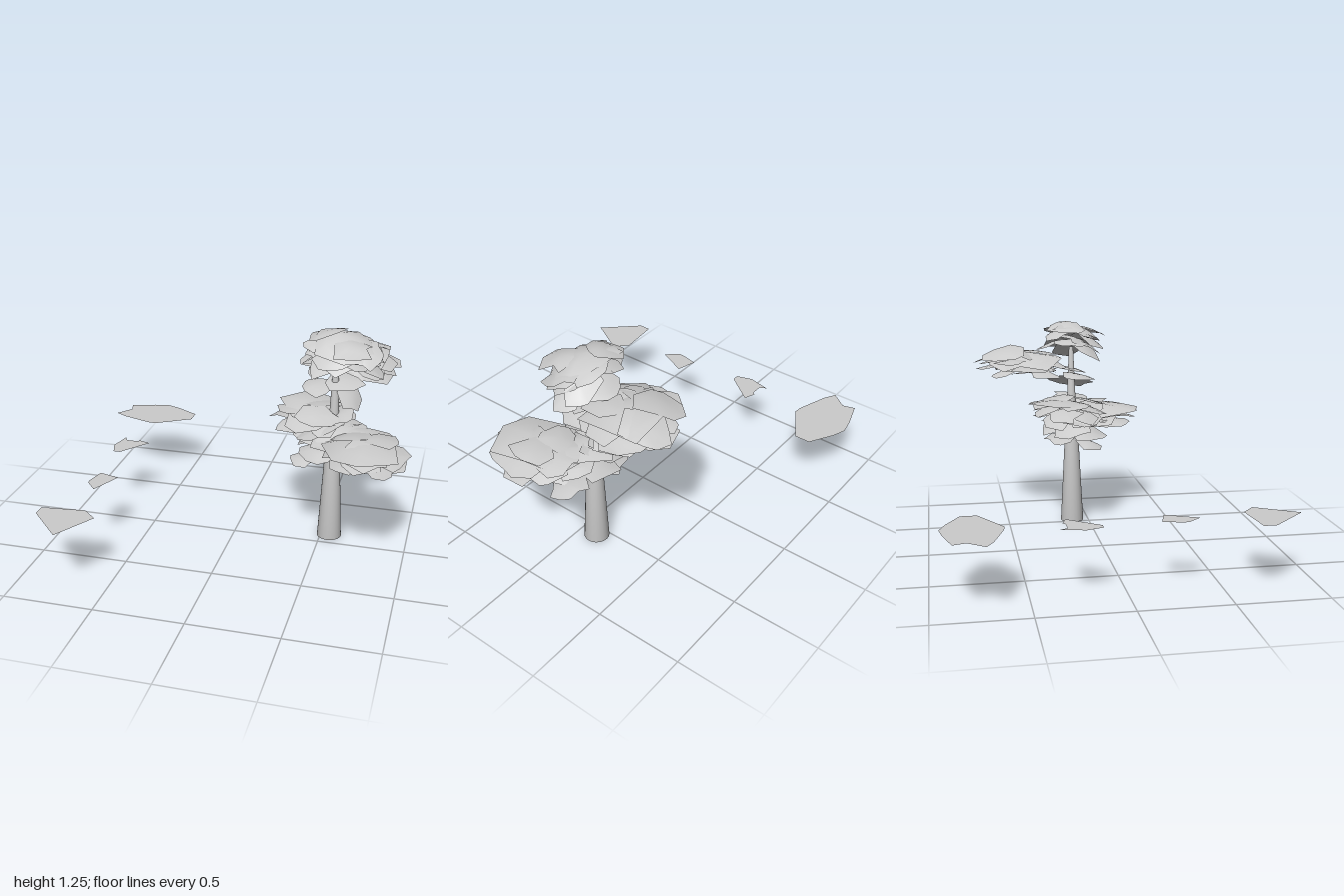
import * as THREE from 'three';

const grey = new THREE.MeshStandardMaterial({ color: 0xcccccc });
const greySheet = new THREE.MeshStandardMaterial({ color: 0xcccccc, side: THREE.DoubleSide });

// Small seeded random generator
let seed = 7;
function rand(min, max) {
  seed = (seed * 16807) % 2147483647;
  return min + (max - min) * (seed / 2147483647);
}

// A ragged, gently domed sheet inside a cluster. Coordinates are relative to
// the cluster radii, so leaves near its edge bend down with the whole mass.
function leafGeometry(ux, uz, layer, size, r, droop) {
  const sides = Math.floor(rand(7, 11));
  const turn = rand(0, Math.PI * 2);
  const tiltX = rand(-0.5, 0.5), tiltZ = rand(-0.5, 0.5);
  const points = [], faces = [];
  const add = (x, z) => {
    const d = Math.hypot(x, z);
    const k = d > 1.06 ? 1.06 / d : 1;
    const px = x * k, pz = z * k;
    const py = layer - droop * Math.min(1, d * d) + tiltX * (x - ux) + tiltZ * (z - uz);
    points.push(px * r[0], py * r[1], pz * r[2]);
  };

  add(ux, uz);
  const rim = Array.from({ length: sides }, (_, i) => ({
    a: turn + ((i + rand(-0.4, 0.4)) / sides) * Math.PI * 2,
    s: size * rand(0.7, 1.2),
  }));
  const rings = 3;
  for (let ring = 1; ring <= rings; ring++) {
    for (const { a, s } of rim) {
      const t = (s * ring) / rings;
      add(ux + t * Math.cos(a), uz + t * Math.sin(a));
    }
  }
  for (let i = 0; i < sides; i++) {
    const j = (i + 1) % sides;
    faces.push(0, 1 + j, 1 + i);
    for (let ring = 0; ring < rings - 1; ring++) {
      const a = 1 + ring * sides, b = a + sides;
      faces.push(a + i, a + j, b + i, a + j, b + j, b + i);
    }
  }
  const geometry = new THREE.BufferGeometry();
  geometry.setAttribute('position', new THREE.Float32BufferAttribute(points, 3));
  geometry.setIndex(faces);
  geometry.computeVertexNormals();
  return geometry;
}

// A mass of overlapping leaves: one broad cap and smaller sheets around it.
// lean tips the whole mass about x and z.
function foliage({ name, at, r, count, droop, lean = [0, 0] }) {
  const cluster = new THREE.Group();
  cluster.name = name;
  cluster.position.set(...at);
  cluster.rotation.set(lean[0], 0, lean[1]);
  const addLeaf = (...args) => {
    const leaf = new THREE.Mesh(leafGeometry(...args, r, droop), greySheet);
    leaf.name = 'leaf';
    cluster.add(leaf);
  };
  addLeaf(0, 0, 0.7, 0.95);
  for (let i = 0; i < count; i++) {
    const a = i * 2.4;
    const d = rand(0.4, 0.62);
    const layer = -0.6 + (1.5 * i) / Math.max(1, count - 1);
    addLeaf(d * Math.cos(a), d * Math.sin(a), layer, rand(0.42, 0.6));
  }
  return cluster;
}

// A single tilted leaf between or over the main masses
function looseLeaf(at, r, rx, rz) {
  const leaf = new THREE.Mesh(leafGeometry(0, 0, 0, 0.95, r, 0.8), greySheet);
  leaf.name = 'looseLeaf';
  leaf.position.set(...at);
  leaf.rotation.set(rx, 0, rz);
  return leaf;
}

export function createModel() {
  seed = 7;
  const model = new THREE.Group();
  model.name = 'treeWithPatches';

  const tree = new THREE.Group();
  tree.name = 'tree';
  model.add(tree);

  // Tapering trunk with a softly shaded foot
  const profile = [[0, 0], [0.071, 0], [0.041, 0.57], [0.028, 0.74], [0.013, 1.1], [0, 1.1]];
  const trunk = new THREE.Mesh(
    new THREE.LatheGeometry(profile.map(([x, y]) => new THREE.Vector2(x, y)), 20), grey);
  trunk.name = 'trunk';
  trunk.position.set(0.55, 0, -0.1);
  tree.add(trunk);

  // Foliage masses from the crown downwards
  const clusters = [
    { name: 'crown', at: [0.6, 1.17, -0.09], r: [0.22, 0.09, 0.2], count: 13, droop: 0.8, lean: [0.1, -0.08] },
    { name: 'upperBackFoliage', at: [0.63, 1.03, -0.42], r: [0.24, 0.065, 0.26], count: 13, droop: 0.8, lean: [0, -0.08] },
    { name: 'upperSideFoliage', at: [0.5, 1.0, -0.36], r: [0.19, 0.07, 0.22], count: 9, droop: 0.6 },
    { name: 'middleFoliage', at: [0.42, 0.75, -0.15], r: [0.24, 0.06, 0.23], count: 12, droop: 0.7 },
    { name: 'lowerFoliage', at: [0.76, 0.655, 0.08], r: [0.235, 0.075, 0.28], count: 14, droop: 0.7 },
    { name: 'lowerBackFoliage', at: [0.6, 0.64, -0.08], r: [0.25, 0.085, 0.2], count: 10, droop: 0.7 },
  ];
  clusters.forEach((c) => tree.add(foliage(c)));

  // Broad sheets draped over the outer side of the upper masses
  tree.add(
    looseLeaf([0.6, 1.15, -0.06], [0.2, 0.06, 0.17], 0.5, -0.2),
    looseLeaf([0.68, 1.02, -0.38], [0.18, 0.06, 0.2], 0.15, -0.35),
  );

  // Loose leaves
  tree.add(
    looseLeaf([0.39, 0.52, 0.0], [0.1, 0.02, 0.1], 0.25, 0.2),
    looseLeaf([0.83, 0.58, -0.16], [0.1, 0.02, 0.12], 0.2, -0.2),
    looseLeaf([0.65, 0.885, -0.1], [0.09, 0.02, 0.15], 0.15, -0.6),
    looseLeaf([0.52, 0.55, -0.18], [0.13, 0.02, 0.1], -0.15, 0.1),
    looseLeaf([0.6, 0.79, -0.1], [0.08, 0.02, 0.12], 0.1, 0.3),
    looseLeaf([0.44, 0.94, -0.08], [0.1, 0.02, 0.12], 0.1, 0.2),
    looseLeaf([0.42, 0.66, -0.08], [0.13, 0.02, 0.12], 0.1, 0.15),
    looseLeaf([0.6, 0.97, -0.12], [0.12, 0.02, 0.13], 0.2, -0.1),
  );

  // Four flat, irregular patches in a row beside the tree, as x and z outlines
  const outlines = [
    [[-1, -0.72], [-0.93, -0.81], [-0.95, -0.88], [-0.8, -0.925], [-0.71, -0.94], [-0.63, -0.91],
      [-0.49, -0.83], [-0.49, -0.74], [-0.7, -0.615], [-0.75, -0.62], [-0.93, -0.68]],
    [[-0.8, -0.35], [-0.78, -0.31], [-0.71, -0.31], [-0.7, -0.325], [-0.63, -0.3],
      [-0.76, -0.13], [-0.8, -0.13], [-0.83, -0.22]],
    [[-0.76, 0.175], [-0.64, 0.21], [-0.72, 0.385], [-0.785, 0.31], [-0.785, 0.28]],
    [[-0.91, 0.66], [-0.665, 0.635], [-0.585, 0.705], [-0.72, 0.93], [-0.91, 0.73]],
  ];
  for (const outline of outlines) {
    const shape = new THREE.Shape(outline.map(([x, z]) => new THREE.Vector2(x, -z)));
    const patch = new THREE.Mesh(new THREE.ShapeGeometry(shape).rotateX(-Math.PI / 2), greySheet);
    patch.name = 'flatPatch';
    patch.position.y = 0.37;
    model.add(patch);
  }

  return model;
}
